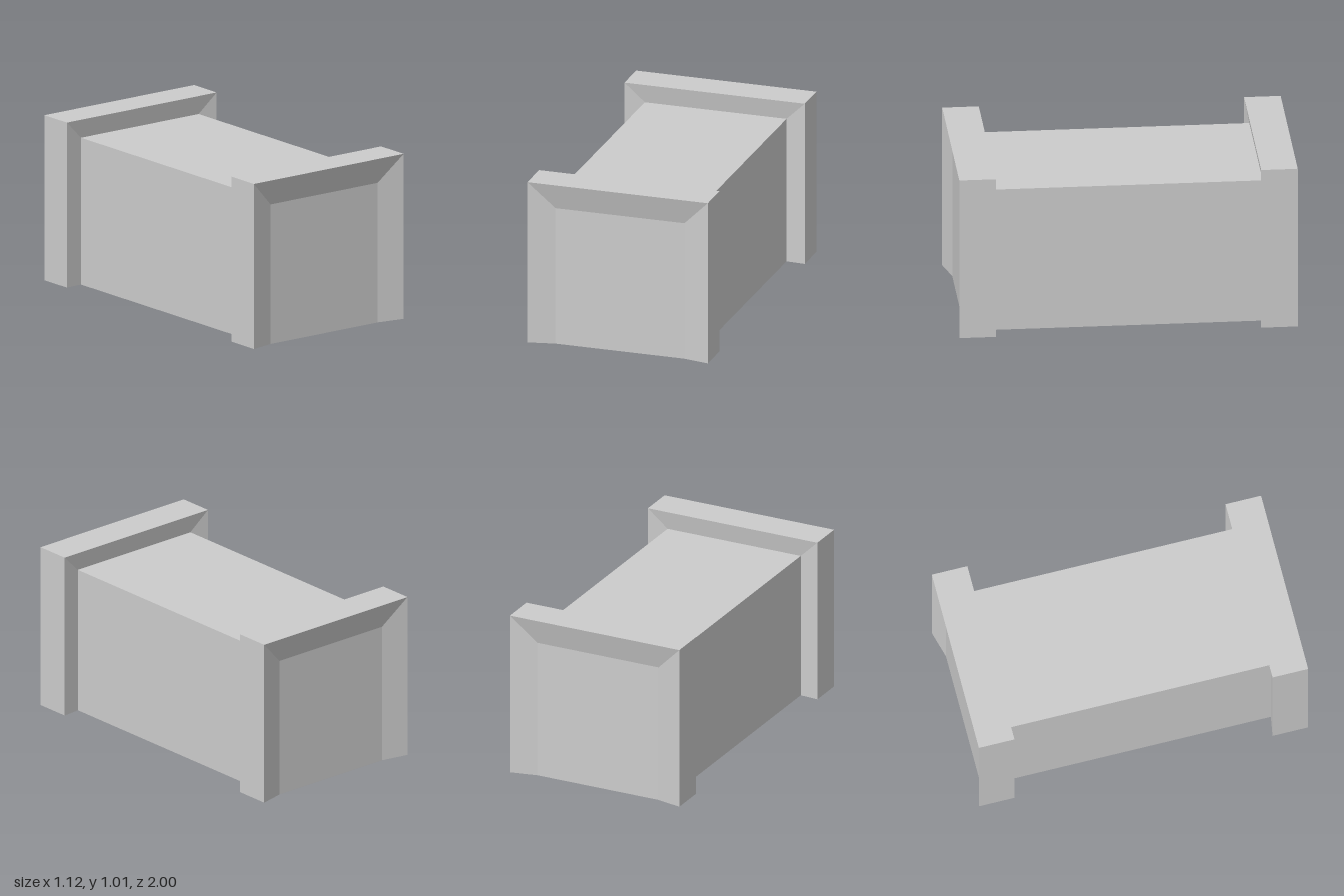
import * as THREE from 'three';

const material = new THREE.MeshStandardMaterial({ color: 0xcccccc, flatShading: true });

// Cross-sections from front to back: half width, top height, z
const PANEL = { w: 0.4, t: 0.85, z: 0.955 };
const RIM_OUT = { w: 0.56, t: 1.01, z: 1 };
const RIM_IN = { w: 0.56, t: 1.01, z: 0.784 };
const NECK = { w: 0.44, t: 0.894, z: 0.804 };

// Slightly raised outer corners along the underside
const bottomY = (x) => (Math.abs(x) > 0.5 ? 0.005 : 0);

// Joins open-bottomed rectangular sections; optionally closes the first one
function loft(rings, capped) {
  const sections = rings.map(({ w, t, z }) => [
    [-w, bottomY(w), z], [-w, t, z], [w, t, z], [w, bottomY(w), z],
  ]);
  const positions = [];
  const quad = (a, b, c, d) => positions.push(...a, ...b, ...c, ...a, ...c, ...d);
  if (capped) {
    const [p0, p1, p2, p3] = sections[0];
    quad(p0, p3, p2, p1);
  }
  for (let i = 0; i < sections.length - 1; i++) {
    const s = sections[i], n = sections[i + 1];
    for (let j = 0; j < 3; j++) quad(s[j], s[j + 1], n[j + 1], n[j]);
  }
  const geometry = new THREE.BufferGeometry();
  geometry.setAttribute('position', new THREE.Float32BufferAttribute(positions, 3));
  geometry.computeVertexNormals();
  return geometry;
}

// Underside following the stepped plan outline
function baseGeometry() {
  const half = [PANEL, RIM_OUT, RIM_IN, NECK];
  const right = [
    ...half.map(({ w, z }) => [w, z]),
    ...half.slice().reverse().map(({ w, z }) => [w, -z]),
  ];
  const left = right.slice().reverse().map(([x, z]) => [-x, z]);
  const shape = new THREE.Shape([...right, ...left].map(([x, z]) => new THREE.Vector2(x, z)));
  const geometry = new THREE.ShapeGeometry(shape).rotateX(Math.PI / 2);
  const p = geometry.attributes.position;
  for (let i = 0; i < p.count; i++) p.setY(i, bottomY(p.getX(i)));
  geometry.computeVertexNormals();
  return geometry;
}

export function createModel() {
  const model = new THREE.Group();
  const add = (name, geometry) => {
    const mesh = new THREE.Mesh(geometry, material);
    mesh.name = name;
    model.add(mesh);
    return mesh;
  };

  // Central block
  add('body', loft([NECK, { ...NECK, z: -NECK.z }], false));

  // Flared end blocks with a recessed outer panel
  const endGeometry = loft([PANEL, RIM_OUT, RIM_IN, NECK], true);
  add('frontEnd', endGeometry);
  add('backEnd', endGeometry).rotation.y = Math.PI;

  // Underside
  add('base', baseGeometry());

  return model;
}
